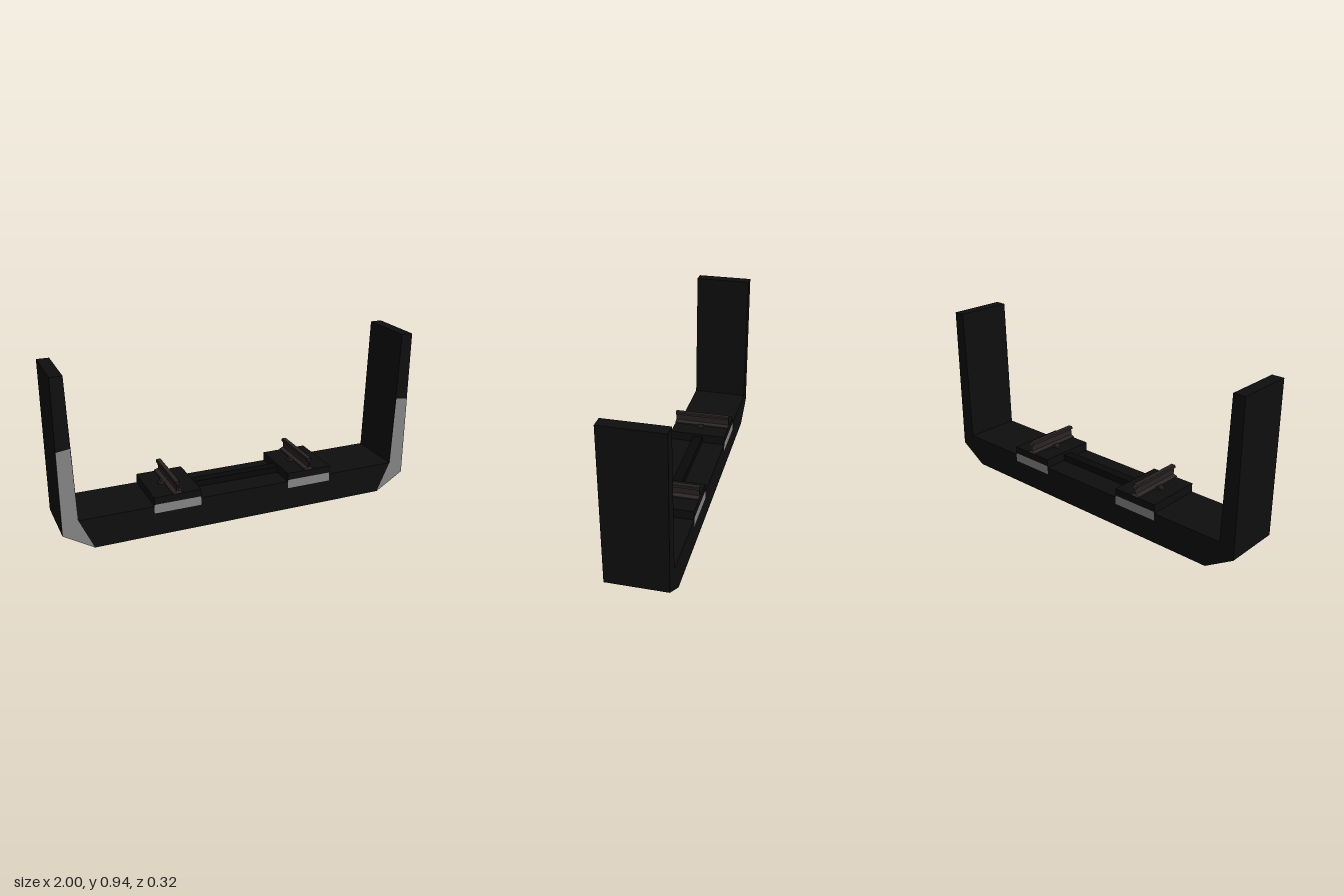
import * as THREE from 'three';

const D = 0.16; // half depth

function mat(name, color, side = THREE.FrontSide) {
  const m = new THREE.MeshStandardMaterial({ color, side });
  m.name = name;
  return m;
}

function shapeOf(points) {
  return new THREE.Shape(points.map(([x, y]) => new THREE.Vector2(x, y)));
}

function extrude(points, depth) {
  const g = new THREE.ExtrudeGeometry(shapeOf(points), { depth, bevelEnabled: false });
  return g.translate(0, 0, -depth / 2);
}

// Open-ended skin swept along z from a closed counter-clockwise profile
function openSweep(points, depth) {
  const pos = [];
  points.forEach(([x0, y0], i) => {
    const [x1, y1] = points[(i + 1) % points.length];
    const h = depth / 2;
    pos.push(x0, y0, h, x0, y0, -h, x1, y1, -h);
    pos.push(x0, y0, h, x1, y1, -h, x1, y1, h);
  });
  const g = new THREE.BufferGeometry();
  g.setAttribute('position', new THREE.Float32BufferAttribute(pos, 3));
  g.computeVertexNormals();
  return g;
}

export function createModel() {
  const model = new THREE.Group();
  model.name = 'troughTrackSection';
  const black = mat('blackConcrete', 0x0e0e0e);
  const dark = mat('darkChannel', 0x080808);
  const grey = mat('greyFace', 0x868686);
  const steel = mat('brownSteel', 0x2a2423, THREE.DoubleSide);

  const add = (parent, name, geometry, material, x = 0, y = 0, z = 0) => {
    const m = new THREE.Mesh(geometry, material);
    m.name = name;
    m.position.set(x, y, z);
    parent.add(m);
    return m;
  };
  const box = (w, h, d) => new THREE.BoxGeometry(w, h, d);

  // U-shaped trough with chamfered lower corners
  const half = [[0.84, 0.001], [1, 0.1], [1, 0.935], [0.935, 0.935], [0.915, 0.17]];
  const mirrored = half.map(([x, y]) => [-x, y]).reverse();
  add(model, 'trough', extrude([...half, ...mirrored], D * 2), black);

  // Grey underside
  const under = new THREE.PlaneGeometry(1.68, D * 2).rotateX(Math.PI / 2);
  add(model, 'underside', under, grey);

  // Grey lower faces on the front of both walls
  const face = [[0.84, 0.001], [1, 0.1], [1, 0.555], [0.929, 0.565], [0.915, 0.17]];
  for (const s of [-1, 1]) {
    const pts = face.map(([x, y]) => [s * x, y]);
    add(model, 'wallFrontFace', new THREE.ShapeGeometry(shapeOf(pts)), grey, 0, 0, D + 0.001);
  }

  // Low bar between the two rail bases
  add(model, 'centreBar', box(0.51, 0.035, 0.055), dark, 0, 0.1875, -0.002);

  // Rail profile: foot, web and head
  const right = [[0.027, 0], [0.027, 0.006], [0.005, 0.014], [0.005, 0.046],
    [0.014, 0.051], [0.014, 0.064], [0.011, 0.068]];
  const profile = [...right, ...right.map(([x, y]) => [-x, y]).reverse()];
  const clip = [[0.02, 0], [0.058, 0], [0.056, 0.007], [0.048, 0.01], [0.044, 0.018],
    [0.034, 0.018], [0.028, 0.01], [0.02, 0.01]];

  for (const s of [-1, 1]) {
    const track = new THREE.Group();
    track.name = s > 0 ? 'leftTrack' : 'rightTrack';
    track.position.x = s * 0.386;
    model.add(track);

    // Rail base, grey along the lower part of its ends
    add(track, 'railBase', box(0.26, 0.09, D * 2), black, 0, 0.175, 0);
    for (const e of [-1, 1]) {
      const end = new THREE.PlaneGeometry(0.26, 0.05);
      if (e < 0) end.rotateY(Math.PI);
      add(track, 'railBaseEnd', end, grey, 0, 0.155, e * (D + 0.001));
    }

    add(track, 'rail', openSweep(profile, D * 2), steel, 0, 0.221, 0);

    // Clips holding the rail foot
    for (const c of [-1, 1]) {
      const g = extrude(clip, 0.032);
      if (c < 0) g.rotateY(Math.PI);
      add(track, 'railClip', g, steel, 0, 0.22, 0);
    }
  }
  return model;
}
